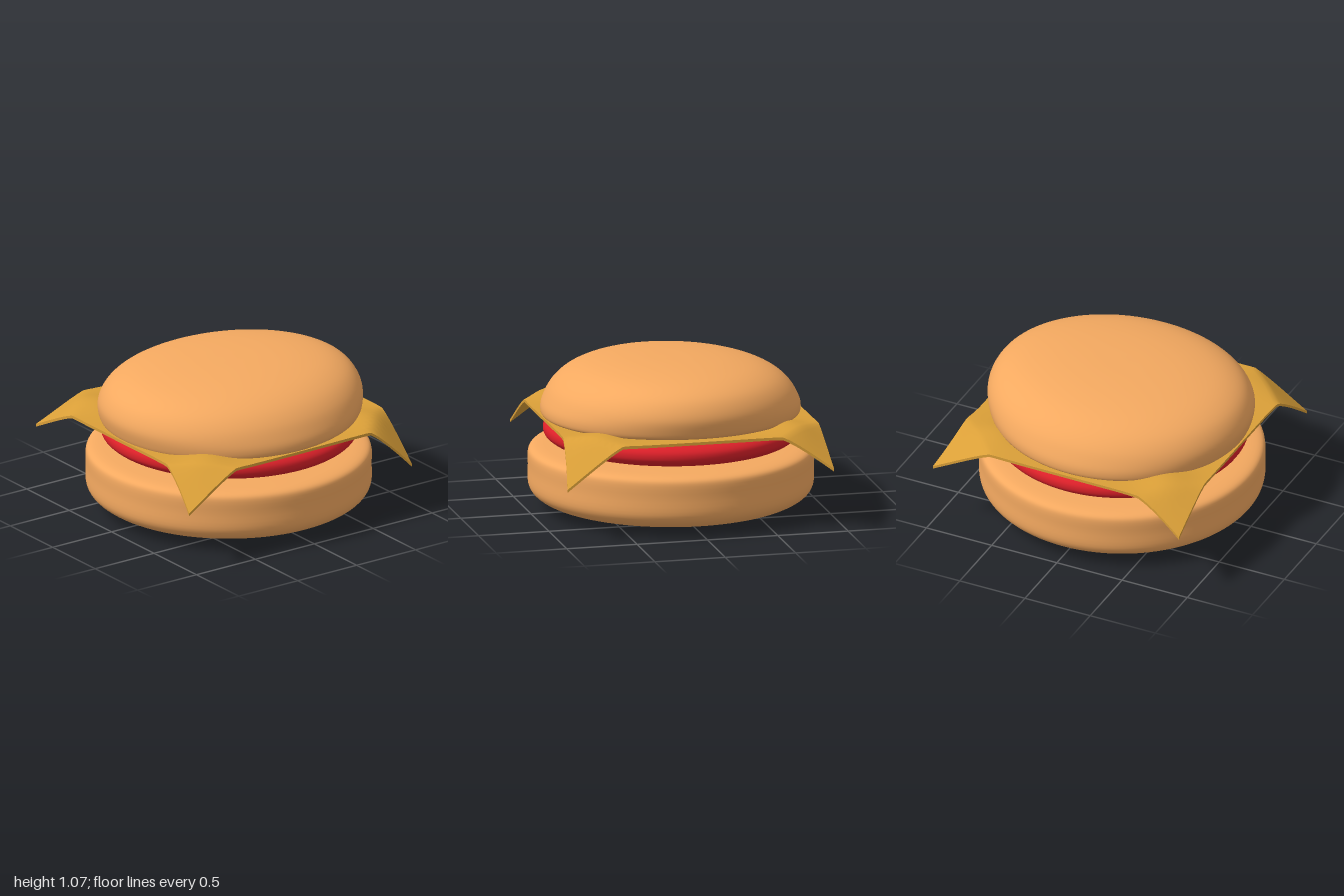
import * as THREE from 'three';
import { mergeVertices, toCreasedNormals } from 'three/addons/utils/BufferGeometryUtils.js';

const BUN = 0xf4a960, CHEESE = 0xda9f38, TOMATO = 0xdc2029;

function addMesh(group, name, geometry, color) {
  const mesh = new THREE.Mesh(geometry, new THREE.MeshStandardMaterial({ color }));
  mesh.name = name;
  group.add(mesh);
  return mesh;
}

// Smooth oval body from rings [half width x, height y, half depth z], bottom to top
function ovalBody(rings, shear = 0, samples = 48, segments = 96) {
  const curve = new THREE.CatmullRomCurve3(
    rings.map(([rx, y, rz = rx]) => new THREE.Vector3(rx, y, rz)), false, 'centripetal');
  const pts = curve.getPoints(samples);
  pts.forEach((p) => { p.x = Math.max(0, p.x); p.z = Math.max(0, p.z); });
  const geo = new THREE.LatheGeometry(pts.map((p) => new THREE.Vector2(p.x, p.y)), segments);
  const pos = geo.attributes.position;
  for (let i = 0; i < pos.count; i++) {
    const p = pts[i % pts.length];
    const a = Math.floor(i / pts.length) / segments * Math.PI * 2;
    const z = p.z * Math.cos(a);
    pos.setXYZ(i, p.x * Math.sin(a), p.y - shear * z, z);
  }
  geo.deleteAttribute('uv');
  geo.deleteAttribute('normal');
  const merged = mergeVertices(geo, 1e-5);
  merged.computeVertexNormals();
  return merged;
}

// Square slice whose four corners melt downward, each by its own amount
function cheeseSlice() {
  const halfX = 0.9, halfZ = 0.905;
  const geo = new THREE.BoxGeometry(halfX * 2, 0.02, halfZ * 2, 48, 1, 48);
  const pos = geo.attributes.position;
  for (let i = 0; i < pos.count; i++) {
    const x = pos.getX(i), y = pos.getY(i), z = pos.getZ(i);
    const ax = Math.abs(x), az = Math.abs(z);
    // [shift x, shift z, drop] at the nearest corner
    const corner = z > 0
      ? (x < 0 ? [-0.09, 0.01, 0.19] : [0, 0.07, 0.24])
      : (x < 0 ? [0, -0.11, 0.22] : [0.06, 0.03, 0.29]);
    const fold = Math.max(0, (ax + az - 1.46) / (halfX + halfZ - 1.46));
    const pull = Math.max(0, (ax + az - 1.25) / (halfX + halfZ - 1.25)) ** 2;
    const hump = 0.04 * Math.exp(-((ax - 0.65) ** 2 + (az - 0.65) ** 2) / 0.03);
    pos.setXYZ(i,
      x + corner[0] * pull,
      0.656 + y + hump - corner[2] * fold ** 1.15 - 0.006 * z,
      z + 0.015 + corner[1] * pull);
  }
  return toCreasedNormals(geo, 0.8);
}

export function createModel() {
  const group = new THREE.Group();
  group.name = 'burger';

  // Bottom bun: thick disc with a softly rounded underside and tight top edge
  const bottom = addMesh(group, 'bottomBun', ovalBody([
    [0, 0.003], [0.35, 0.006], [0.6, 0.02], [0.8, 0.048], [0.91, 0.085], [0.965, 0.13],
    [0.985, 0.18], [0.985, 0.29], [0.985, 0.39], [0.972, 0.418], [0.93, 0.437],
    [0.8, 0.447], [0.5, 0.453], [0, 0.456],
  ]), BUN);
  bottom.position.set(0.005, 0, 0.01);

  // Tomato layer
  addMesh(group, 'tomatoSlice', ovalBody([
    [0, 0.455], [0.5, 0.46], [0.74, 0.473], [0.84, 0.497], [0.885, 0.54],
    [0.885, 0.585], [0.85, 0.62], [0.75, 0.635], [0.4, 0.64], [0, 0.64],
  ]), TOMATO);

  // Cheese
  addMesh(group, 'cheeseSlice', cheeseSlice(), CHEESE);

  // Top bun: domed, bulging at front and back, slightly higher at the back
  const top = addMesh(group, 'topBun', ovalBody([
    [0, 0.665, 0], [0.5, 0.665, 0.5], [0.83, 0.665, 0.84], [0.89, 0.675, 0.9],
    [0.895, 0.73, 0.922], [0.868, 0.8, 0.932], [0.825, 0.87, 0.91], [0.75, 0.94, 0.855],
    [0.63, 1.0, 0.74], [0.45, 1.042, 0.54], [0.22, 1.064, 0.27], [0, 1.069, 0],
  ], 0.028), BUN);
  top.position.x = 0.01;

  return group;
}
